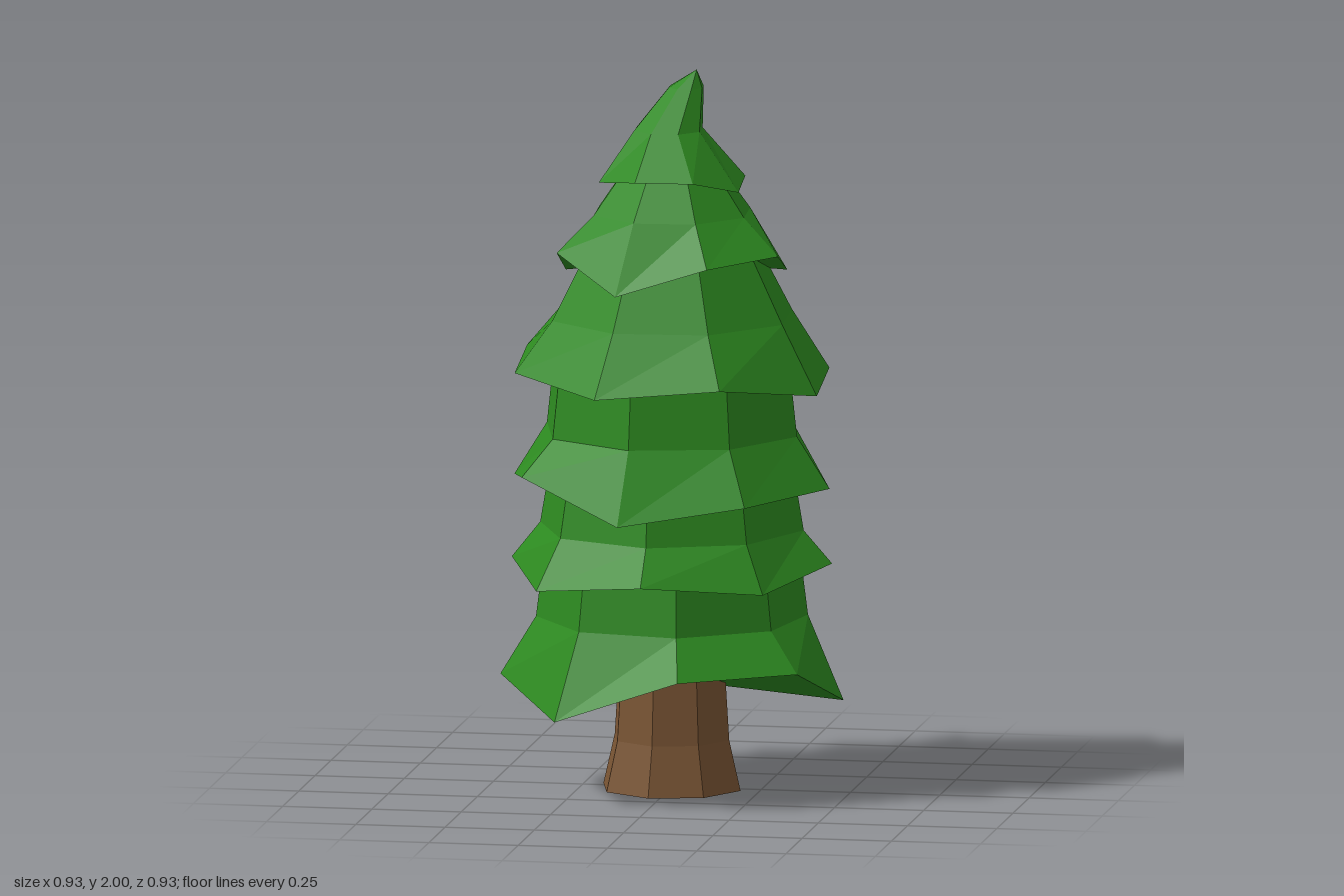
import * as THREE from 'three';

const SIDES = 8;

// Octagonal ring; the angle runs from the front (+z) towards +x.
// y is one height, or one height per corner for a jagged hem.
function ring(radius, y, phase, cx = 0, cz = 0) {
  return Array.from({ length: SIDES }, (_, i) => {
    const a = THREE.MathUtils.degToRad(phase + (i * 360) / SIDES);
    const h = Array.isArray(y) ? y[i] : y;
    return new THREE.Vector3(cx + radius * Math.sin(a), h, cz + radius * Math.cos(a));
  });
}

// Skin the rings from bottom to top and close both ends with fans.
function loft(rings, bottom, top) {
  const points = [];
  const first = rings[0];
  const last = rings[rings.length - 1];
  for (let i = 0; i < SIDES; i++) {
    const j = (i + 1) % SIDES;
    points.push(bottom, first[j], first[i]);
    for (let k = 0; k < rings.length - 1; k++) {
      const lo = rings[k];
      const hi = rings[k + 1];
      points.push(lo[i], lo[j], hi[j], lo[i], hi[j], hi[i]);
    }
    points.push(top, last[i], last[j]);
  }
  const geometry = new THREE.BufferGeometry().setFromPoints(points);
  geometry.computeVertexNormals();
  return geometry;
}

// Each tier: hem radius, phase and corner heights, then [radius, y] rings above
const TIERS = [
  { r: 0.473, phase: 12, hem: [0.37, 0.37, 0.24, 0.33, 0.2, 0.33, 0.32, 0.24],
    rings: [[0.375, 0.48], [0.355, 0.64]] },
  { r: 0.45, phase: -1, hem: [0.63, 0.6, 0.64, 0.62, 0.6, 0.62, 0.63, 0.59],
    rings: [[0.37, 0.73], [0.345, 0.88]] },
  { r: 0.46, phase: -9, hem: [0.8, 0.85, 0.86, 0.8, 0.91, 0.86, 0.85, 0.9],
    rings: [[0.365, 1.0], [0.345, 1.18]] },
  { r: 0.453, phase: -18, hem: [1.15, 1.18, 1.13, 1.15, 1.19, 1.15, 1.2, 1.18],
    rings: [[0.345, 1.32], [0.25, 1.5]] },
  { r: 0.332, phase: -18, hem: [1.42, 1.5, 1.51, 1.43, 1.5, 1.5, 1.42, 1.51],
    rings: [[0.225, 1.61], [0.145, 1.72]] },
  // Crown with a bent tip: the upper rings drift sideways
  { r: 0.21, phase: -19, hem: [1.72, 1.72, 1.68, 1.7, 1.67, 1.7, 1.68, 1.7],
    rings: [[0.098, 1.84, -0.01, 0], [0.05, 1.95, 0.03, -0.055]],
    tip: [0.06, 2.0, -0.05] },
];

export function createModel() {
  const tree = new THREE.Group();
  tree.name = 'pineTree';
  const bark = new THREE.MeshStandardMaterial({ color: 0x7a5534, flatShading: true });
  const needles = new THREE.MeshStandardMaterial({ color: 0x2d8a20, flatShading: true });

  // Trunk flaring out at the foot
  const trunk = new THREE.Mesh(
    loft(
      [[0.2, 0], [0.167, 0.14], [0.155, 0.33]].map(([r, y]) => ring(r, y, -9)),
      new THREE.Vector3(0, 0, 0),
      new THREE.Vector3(0, 0.33, 0)
    ),
    bark
  );
  trunk.name = 'trunk';
  tree.add(trunk);

  // Stacked skirts of foliage
  const foliage = new THREE.Group();
  foliage.name = 'foliage';
  TIERS.forEach(({ r, phase, hem, rings, tip }, n) => {
    const mean = hem.reduce((sum, y) => sum + y, 0) / SIDES;
    const topY = rings[rings.length - 1][1];
    const mesh = new THREE.Mesh(
      loft(
        [ring(r, hem, phase), ...rings.map(([rad, y, x, z]) => ring(rad, y, phase, x, z))],
        new THREE.Vector3(0, mean, 0),
        new THREE.Vector3(...(tip ?? [0, topY, 0]))
      ),
      needles
    );
    mesh.name = tip ? 'crown' : `foliageTier${n + 1}`;
    foliage.add(mesh);
  });
  tree.add(foliage);
  return tree;
}
